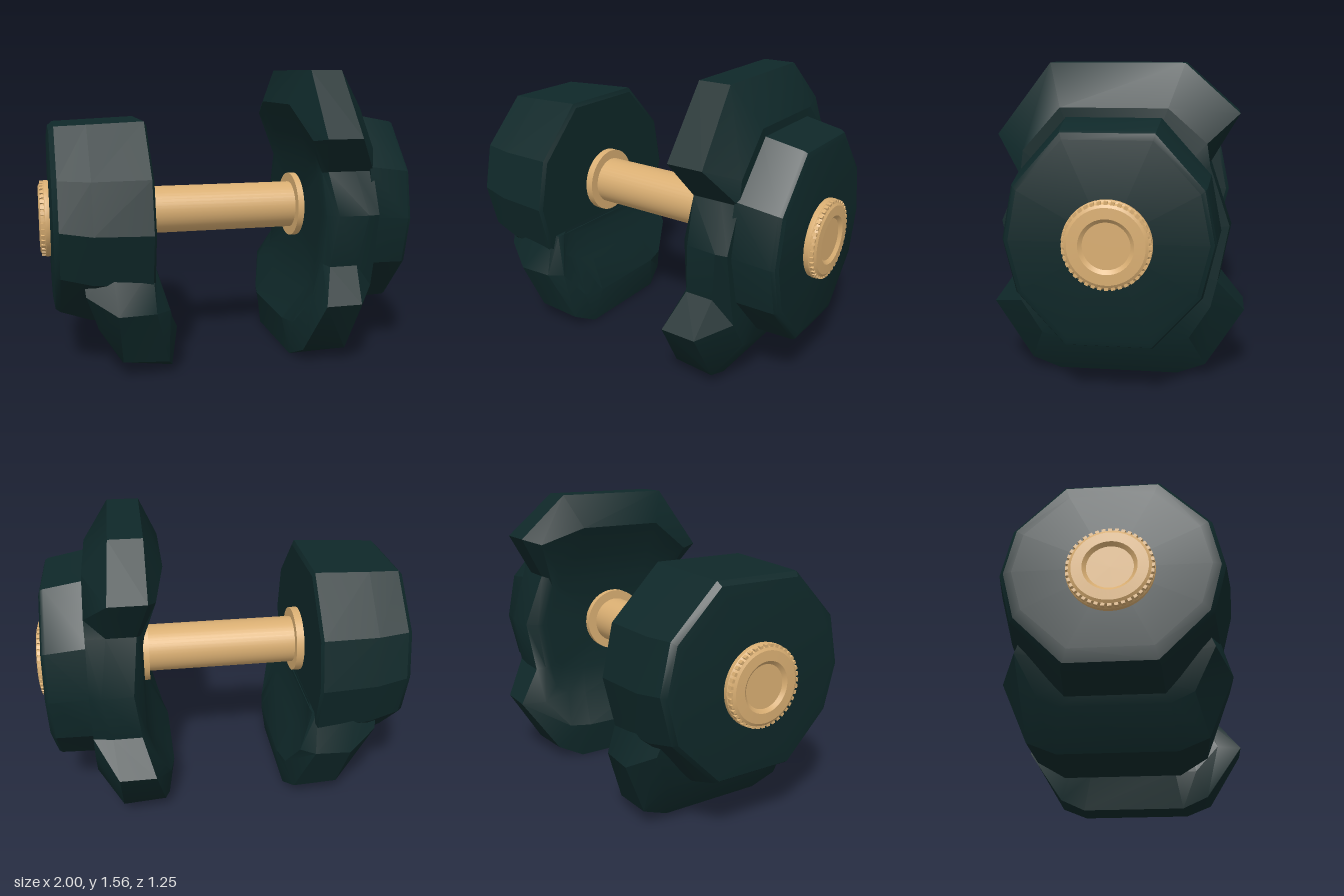
import * as THREE from 'three';
import { toCreasedNormals } from 'three/addons/utils/BufferGeometryUtils.js';

const paint = (name, color) => {
  const m = new THREE.MeshStandardMaterial({ color });
  m.name = name;
  return m;
};

// Half outline of [width, height, distance from centre, tilt], top to bottom, mirrored into a closed ring
function ring(half) {
  const side = (s) => half.map(([w, y, x, tilt = 0]) => [x, y - tilt * s * w, s * w]);
  return [...side(-1), ...side(1).reverse()];
}

// Skin over rings running from the outer end inwards, with a cap on both ends; side = -1 mirrors in x
function loft(halves, side, crease = 0.45) {
  const rings = halves.map(ring);
  const n = rings[0].length;
  const pos = [];
  const tri = (a, b, c) => {
    const order = side > 0 ? [a, b, c] : [a, c, b];
    order.forEach(([x, y, z]) => pos.push(x * side, y, z));
  };
  const middle = (r) => [0, 1, 2].map((k) => r.reduce((sum, p) => sum + p[k], 0) / n);
  const last = rings[rings.length - 1];
  const c0 = middle(rings[0]);
  const c1 = middle(last);
  for (let i = 0; i < n; i++) {
    const j = (i + 1) % n;
    tri(c0, rings[0][j], rings[0][i]);
    tri(c1, last[i], last[j]);
    for (let r = 0; r + 1 < rings.length; r++) {
      tri(rings[r][i], rings[r][j], rings[r + 1][j]);
      tri(rings[r][i], rings[r + 1][j], rings[r + 1][i]);
    }
  }
  const g = new THREE.BufferGeometry();
  g.setAttribute('position', new THREE.Float32BufferAttribute(pos, 3));
  return toCreasedNormals(g, crease);
}

// Faceted plate outline with given half width, top and bottom
function facets(x, w, top, bottom) {
  const h = top - bottom;
  return [
    [w * 0.44, top, x], [w * 0.9, bottom + h * 0.75, x], [w, bottom + h * 0.5, x],
    [w * 0.88, bottom + h * 0.25, x], [w * 0.42, bottom, x],
  ];
}

export function createModel() {
  const model = new THREE.Group();
  const dark = paint('dark green rubber', 0x0f2829);
  const tan = paint('tan metal', 0xd9ae72);
  const add = (name, geometry, material, x = 0, y = 0, parent = model) => {
    const mesh = new THREE.Mesh(geometry, material);
    mesh.name = name;
    mesh.position.set(x, y, 0);
    parent.add(mesh);
    return mesh;
  };

  // Left head: body with an upper and a lower jaw leaning inwards
  const outer = [
    [0.25, 1.36, 0.72], [0.43, 1.18, 0.72, 0.05], [0.445, 1.07, 0.72, 0.07], [0.54, 0.82, 0.72],
    [0.49, 0.55, 0.72], [0.46, 0.42, 0.72], [0.36, 0.26, 0.72], [0.26, 0.23, 0.72],
  ];
  const shoulder = [
    [0.32, 1.56, 0.58], [0.58, 1.275, 0.6, 0.095], [0.445, 1.07, 0.62, 0.07], [0.55, 0.82, 0.66],
    [0.5, 0.545, 0.62], [0.625, 0.37, 0.6], [0.44, 0.07, 0.59], [0.3, 0.012, 0.58],
  ];
  const rim = [
    [0.32, 1.56, 0.41], [0.58, 1.275, 0.41, 0.095], [0.445, 1.07, 0.47, 0.07], [0.54, 0.82, 0.5],
    [0.5, 0.545, 0.47], [0.625, 0.37, 0.41], [0.42, 0.07, 0.36], [0.28, 0, 0.33],
  ];
  const tip = [
    [0.24, 1.38, 0.32], [0.48, 1.25, 0.37, 0.095], [0.41, 1.06, 0.45, 0.07], [0.49, 0.82, 0.45],
    [0.45, 0.55, 0.45], [0.49, 0.37, 0.375], [0.36, 0.21, 0.32], [0.24, 0.2, 0.295],
  ];
  const cove = [
    [0.23, 1.22, 0.395], [0.38, 1.15, 0.415, 0.05], [0.39, 1.04, 0.443], [0.46, 0.82, 0.443],
    [0.42, 0.56, 0.443], [0.4, 0.44, 0.42], [0.33, 0.39, 0.4], [0.22, 0.37, 0.39],
  ];
  const inner = [
    [0.22, 1.05, 0.44], [0.34, 1.03, 0.44], [0.36, 1.0, 0.44], [0.43, 0.82, 0.44],
    [0.38, 0.6, 0.44], [0.35, 0.55, 0.44], [0.3, 0.53, 0.44], [0.2, 0.52, 0.44],
  ];
  const leftHead = new THREE.Group();
  leftHead.name = 'leftHead';
  model.add(leftHead);
  add('jawBody', loft([outer, shoulder, rim, tip, cove, inner], 1, 0.6), dark, 0, 0, leftHead);
  add('outerPlate', loft([
    facets(0.942, 0.455, 1.24, 0.32), facets(0.932, 0.475, 1.27, 0.29),
    facets(0.915, 0.485, 1.28, 0.282), facets(0.7, 0.505, 1.32, 0.28),
  ], 1), dark, 0, 0, leftHead);

  // Right head: plain faceted block with a lower jaw only
  const rightHead = new THREE.Group();
  rightHead.name = 'rightHead';
  model.add(rightHead);
  add('block', loft([
    facets(0.945, 0.46, 1.2, 0.4), facets(0.935, 0.5, 1.26, 0.335), facets(0.91, 0.522, 1.283, 0.318),
    facets(0.75, 0.545, 1.29, 0.265), facets(0.46, 0.558, 1.303, 0.24), facets(0.447, 0.54, 1.28, 0.26),
  ], -1), dark, 0, 0, rightHead);
  add('lowerJaw', loft([
    [[0.42, 0.56, 0.8], [0.46, 0.46, 0.79], [0.36, 0.27, 0.73], [0.25, 0.22, 0.72]],
    [[0.47, 0.6, 0.66], [0.54, 0.37, 0.64], [0.42, 0.09, 0.61], [0.28, 0.035, 0.6]],
    [[0.47, 0.6, 0.46], [0.53, 0.37, 0.45], [0.41, 0.07, 0.37], [0.28, 0, 0.335]],
    [[0.44, 0.58, 0.44], [0.48, 0.37, 0.375], [0.36, 0.21, 0.325], [0.24, 0.2, 0.3]],
    [[0.4, 0.58, 0.435], [0.41, 0.46, 0.42], [0.33, 0.41, 0.4], [0.22, 0.39, 0.385]],
    [[0.37, 0.6, 0.44], [0.35, 0.57, 0.44], [0.3, 0.55, 0.44], [0.2, 0.54, 0.44]],
  ], -1, 0.6), dark, 0, 0, rightHead);

  // Handle bar
  const bar = new THREE.CylinderGeometry(0.13, 0.13, 1.2, 40).rotateZ(Math.PI / 2);
  add('handle', bar, tan, 0, 0.8);

  // Collars and end caps with a shallow dish and a ribbed rim
  const profile = [
    [0.2, 0.92], [0.203, 0.945], [0.205, 0.955], [0.205, 0.968], [0.196, 0.976], [0.19, 0.99],
    [0.176, 0.998], [0.126, 1.0], [0.108, 0.985], [0, 0.985],
  ].map(([r, h]) => new THREE.Vector2(r, h));
  const capGeometry = toCreasedNormals(new THREE.LatheGeometry(profile, 48).rotateZ(-Math.PI / 2), 0.4);
  const ribGeometry = new THREE.BoxGeometry(0.022, 0.014, 0.018);
  const ribs = 40;
  for (const s of [1, -1]) {
    const side = s > 0 ? 'left' : 'right';
    const collar = new THREE.CylinderGeometry(0.18, 0.18, 0.06, 40).rotateZ(Math.PI / 2);
    add(side + 'Collar', collar, tan, s * 0.435, 0.8);
    const cap = new THREE.Group();
    cap.name = side + 'EndCap';
    cap.position.y = 0.778;
    if (s < 0) cap.rotation.y = Math.PI;
    model.add(cap);
    add('capDisc', capGeometry, tan, 0, 0, cap);
    for (let i = 0; i < ribs; i++) {
      const a = (i / ribs) * Math.PI * 2;
      const rib = add('rib', ribGeometry, tan, 0.98, 0, cap);
      rib.position.set(0.98, Math.cos(a) * 0.195, Math.sin(a) * 0.195);
      rib.rotation.x = a;
    }
  }
  return model;
}
